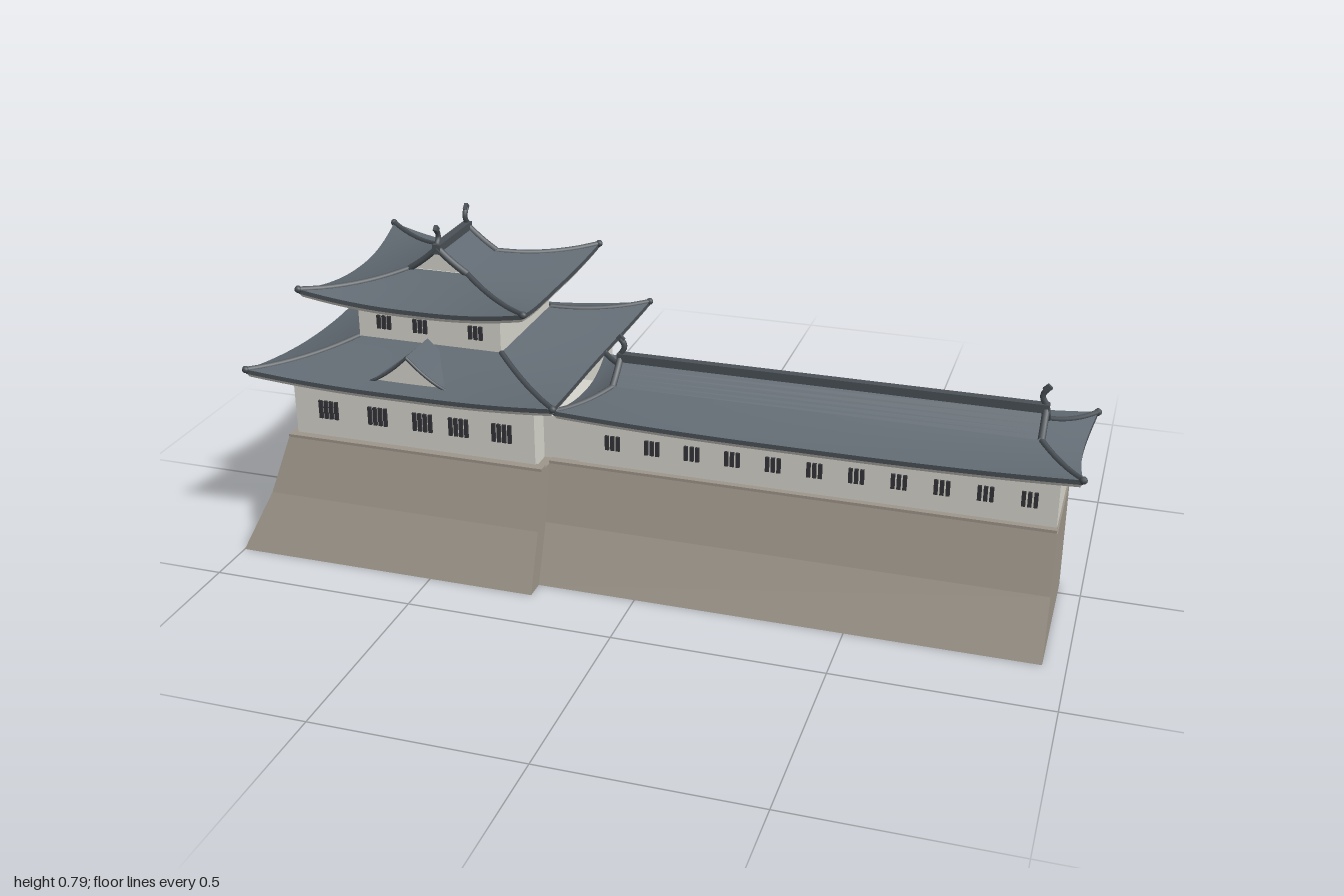
import * as THREE from 'three';

const mat = (name, color, side = THREE.FrontSide) => {
  const m = new THREE.MeshStandardMaterial({ color, side });
  m.name = name;
  return m;
};

export function createModel() {
  const stone = mat('stone', 0x9f978c, THREE.DoubleSide);
  const plaster = mat('plaster', 0xd8d7ce, THREE.DoubleSide);
  const tile = mat('roofTile', 0x626b73, THREE.DoubleSide);
  const ridgeMat = mat('ridgeTile', 0x4a5157, THREE.DoubleSide);
  const dark = mat('windowDark', 0x35353a);

  const root = new THREE.Group();
  root.name = 'castleKeep';

  const add = (parent, name, geo, material) => {
    const m = new THREE.Mesh(geo, material);
    m.name = name;
    parent.add(m);
    return m;
  };
  const group = (name, x = 0, y = 0, z = 0, ry = 0) => {
    const g = new THREE.Group();
    g.name = name;
    g.position.set(x, y, z);
    g.rotation.y = ry;
    root.add(g);
    return g;
  };
  // box given by its min and max on every axis
  const box = (parent, name, material, x0, x1, y0, y1, z0, z1) => {
    const g = new THREE.BoxGeometry(x1 - x0, y1 - y0, z1 - z0);
    g.translate((x0 + x1) / 2, (y0 + y1) / 2, (z0 + z1) / 2);
    return add(parent, name, g, material);
  };
  // grid surface from fn(u, v) -> [x, y, z], front side along du x dv
  const surf = (fn, nu, nv) => {
    const pos = [], idx = [];
    for (let j = 0; j <= nv; j++)
      for (let i = 0; i <= nu; i++) pos.push(...fn(i / nu, j / nv));
    for (let j = 0; j < nv; j++)
      for (let i = 0; i < nu; i++) {
        const a = j * (nu + 1) + i, b = a + nu + 1;
        idx.push(a, a + 1, b + 1, a, b + 1, b);
      }
    const g = new THREE.BufferGeometry();
    g.setAttribute('position', new THREE.Float32BufferAttribute(pos, 3));
    g.setIndex(idx);
    g.computeVertexNormals();
    return g;
  };
  const lerp = THREE.MathUtils.lerp;
  const mix = (a, b, t) => a.map((v, i) => lerp(v, b[i], t));
  const tube = (parent, name, pts, r, seg = 10) =>
    add(parent, name, new THREE.TubeGeometry(
      new THREE.CatmullRomCurve3(pts.map(p => new THREE.Vector3(...p))), seg, r, 6), ridgeMat);

  // battered stone base, open underneath
  const stoneBase = (name, levels, xr, zb) => {
    const g = group(name);
    const ring = ([y, xl, zf]) => [[xl, y, zf], [xr, y, zf], [xr, y, zb], [xl, y, zb]];
    for (let k = 0; k < levels.length - 1; k++) {
      const a = ring(levels[k]), b = ring(levels[k + 1]);
      for (let i = 0; i < 4; i++) {
        const n = (i + 1) % 4;
        add(g, 'stoneFace', surf((u, v) => mix(mix(a[i], a[n], u), mix(b[i], b[n], u), v), 1, 1), stone);
      }
    }
    const t = ring(levels[levels.length - 1]);
    add(g, 'stoneTop', surf((u, v) => mix(mix(t[0], t[1], u), mix(t[3], t[2], u), v), 1, 1), stone);
    return g;
  };
  const towerBase = stoneBase('towerBase', [[0, -1, 0.378], [0.14, -0.94, 0.322], [0.28, -0.9, 0.285]], -0.24, -0.315);
  const wallBase = stoneBase('wallBase', [[0, -0.24, 0.328], [0.14, -0.24, 0.27], [0.28, -0.24, 0.235]], 0.947, -0.04);
  // narrow kerbs along the foot of the walls
  box(towerBase, 'kerb', stone, -0.9, -0.24, 0.28, 0.287, 0.26, 0.285);
  box(towerBase, 'kerb', stone, -0.9, -0.24, 0.28, 0.287, -0.306, -0.29);
  box(towerBase, 'kerb', stone, -0.9, -0.88, 0.28, 0.287, -0.306, 0.285);
  box(wallBase, 'kerb', stone, -0.24, 0.945, 0.28, 0.287, 0.215, 0.235);

  // plastered storeys
  box(root, 'lowerStorey', plaster, -0.885, -0.263, 0.28, 0.435, -0.295, 0.265);
  box(root, 'upperStorey', plaster, -0.76, -0.39, 0.43, 0.61, -0.175, 0.145);
  box(root, 'galleryWalls', plaster, -0.17, 0.943, 0.28, 0.408, -0.03, 0.22);
  box(root, 'connectingPassage', plaster, -0.265, -0.17, 0.28, 0.39, -0.02, 0.205);

  // barred window: a row of thin dark slats on a wall facing angle ry
  const windowAt = (x, y, z, h, n, ry = 0) => {
    const g = group('window', x, y, z, ry);
    for (let i = 0; i < n; i++) {
      const c = (i - (n - 1) / 2) * 0.0135;
      box(g, 'slat', dark, c - 0.0045, c + 0.0045, -h / 2, h / 2, -0.002, 0.006);
    }
  };
  [-0.795, -0.665, -0.548, -0.455, -0.345].forEach(x => windowAt(x, 0.358, 0.265, 0.046, 4));
  [-0.692, -0.597, -0.453].forEach(x => windowAt(x, 0.553, 0.145, 0.034, 3));
  for (let i = 0; i < 11; i++) windowAt(-0.085 + 0.0965 * i, 0.348, 0.22, 0.036, 3);
  [-0.2, -0.01, 0.18].forEach(z => windowAt(-0.885, 0.358, z, 0.046, 4, -Math.PI / 2));
  [-0.1, -0.015, 0.07].forEach(z => windowAt(-0.76, 0.553, z, 0.034, 3, -Math.PI / 2));
  windowAt(-0.38, 0.358, -0.295, 0.046, 4, Math.PI);

  // curved finial on a ridge end, leaning along local x
  const finial = (parent, x, y, d) => {
    tube(parent, 'finialBody', [[x, y, 0], [x - 0.008 * d, y + 0.015, 0], [x - 0.006 * d, y + 0.026, 0], [x + 0.002 * d, y + 0.036, 0]], 0.007, 6);
    const t = add(parent, 'finialTail', new THREE.BoxGeometry(0.017, 0.014, 0.009), ridgeMat);
    t.position.set(x + 0.001 * d, y + 0.037, 0);
    t.rotation.z = d * Math.PI / 4;
  };

  // four swept eaves: outer half sizes o, inner half sizes i, wall half sizes w
  const eaves = (g, { o, i, w, bow, lift, yE, yI, yW }) => {
    for (let k = 0; k < 4; k++) {
      const L = k % 2, O = 1 - L, a = k * Math.PI / 2, c = Math.cos(a), s = Math.sin(a);
      const place = (l, y, d) => [l * c + d * s, y, -l * s + d * c];
      const edge = (u, inset, drop) => {
        const q = u * 2 - 1, b = bow * q * q - inset;
        return place(q * (o[L] + b), yE + lift * Math.abs(q) ** 2.4 - drop, o[O] + b);
      };
      const slope = (u, t) => {
        const q = u * 2 - 1, b = bow * q * q;
        return place(q * lerp(o[L] + b, i[L], t),
          lerp(yE, yI, 0.65 * t + 0.35 * t * t) + lift * Math.abs(q) ** 2.4 * (1 - t) ** 2,
          lerp(o[O] + b, i[O], t));
      };
      const wall = u => place((u * 2 - 1) * w[L], yW, w[O]);
      add(g, 'roofSlope', surf(slope, 20, 8), tile);
      add(g, 'eaveEdge', surf((u, v) => edge(u, 0, 0.011 * (1 - v)), 20, 1), ridgeMat);
      add(g, 'eaveBand', surf((u, v) => edge(u, 0.006 - 0.005 * v, lerp(0.02, 0.01, v)), 20, 1), plaster);
      add(g, 'soffit', surf((u, v) => mix(wall(u), edge(u, 0.006, 0.02), v), 20, 2), plaster);
      // hip ridge on one corner of each side
      const hip = [0, 0.2, 0.4, 0.6, 0.8, 1].map(t => slope(1, t));
      tube(g, 'hipRidge', hip, 0.007);
      const tip = add(g, 'hipEnd', new THREE.SphereGeometry(0.009, 8, 6), ridgeMat);
      tip.position.set(...hip[0]);
    }
  };

  // hip-and-gable roof with its ridge along local x
  const gableRoof = (g, p) => {
    eaves(g, p);
    const [ix, iz] = p.i, { yI, yR } = p;
    const rise = t => yI + (yR - yI) * (0.8 * t + 0.2 * t * t);
    for (const d of [1, -1]) {
      add(g, 'mainSlope', surf((u, v) => [d * (u * 2 - 1) * ix, rise(v), d * iz * (1 - v)], 1, 6), tile);
      add(g, 'gableWall', surf((u, v) => [d * (ix - 0.003), rise(v), -d * (u * 2 - 1) * iz * (1 - v)], 2, 6), plaster);
      for (const e of [1, -1])
        tube(g, 'bargeboard', [0, 0.33, 0.67, 1].map(t => [d * ix, rise(t), e * iz * (1 - t)]), 0.0085);
      finial(g, d * (ix - 0.002), yR + 0.01, d);
    }
    box(g, 'ridge', ridgeMat, -ix - 0.007, ix + 0.007, yR - 0.014, yR + 0.01, -0.01, 0.01);
  };

  eaves(group('lowerRoof', -0.575, 0, -0.015), {
    o: [0.367, 0.335], i: [0.186, 0.161], w: [0.311, 0.28],
    bow: 0.023, lift: 0.026, yE: 0.448, yI: 0.51, yW: 0.43,
  });
  gableRoof(group('upperRoof', -0.574, 0, -0.015, Math.PI / 2), {
    o: [0.238, 0.262], i: [0.09, 0.075], w: [0.16, 0.185],
    bow: 0.024, lift: 0.033, yE: 0.622, yI: 0.672, yR: 0.73, yW: 0.603,
  });
  gableRoof(group('galleryRoof', 0.391, 0, 0.095), {
    o: [0.585, 0.167], i: [0.497, 0.06], w: [0.555, 0.125],
    bow: 0.016, lift: 0.02, yE: 0.418, yI: 0.462, yR: 0.514, yW: 0.403,
  });

  // triangular dormer on the front of the lower roof
  const dormer = group('dormer', -0.573, 0, 0);
  const dormerY = t => 0.455 + 0.075 * (0.6 * t + 0.4 * t * t);
  for (const d of [1, -1]) {
    add(dormer, 'dormerSlope', surf((u, v) => [d * 0.105 * (1 - v), dormerY(v), lerp(0.16, 0.284, d > 0 ? 1 - u : u)], 1, 6), tile);
    tube(dormer, 'dormerEdge', [0, 0.33, 0.67, 1].map(t => [d * 0.105 * (1 - t), dormerY(t) - 0.003, 0.281]), 0.004);
  }
  add(dormer, 'dormerGable', surf((u, v) => [(u * 2 - 1) * 0.1 * (1 - v), dormerY(v) - 0.003, 0.277], 2, 6), plaster);

  return root;
}
